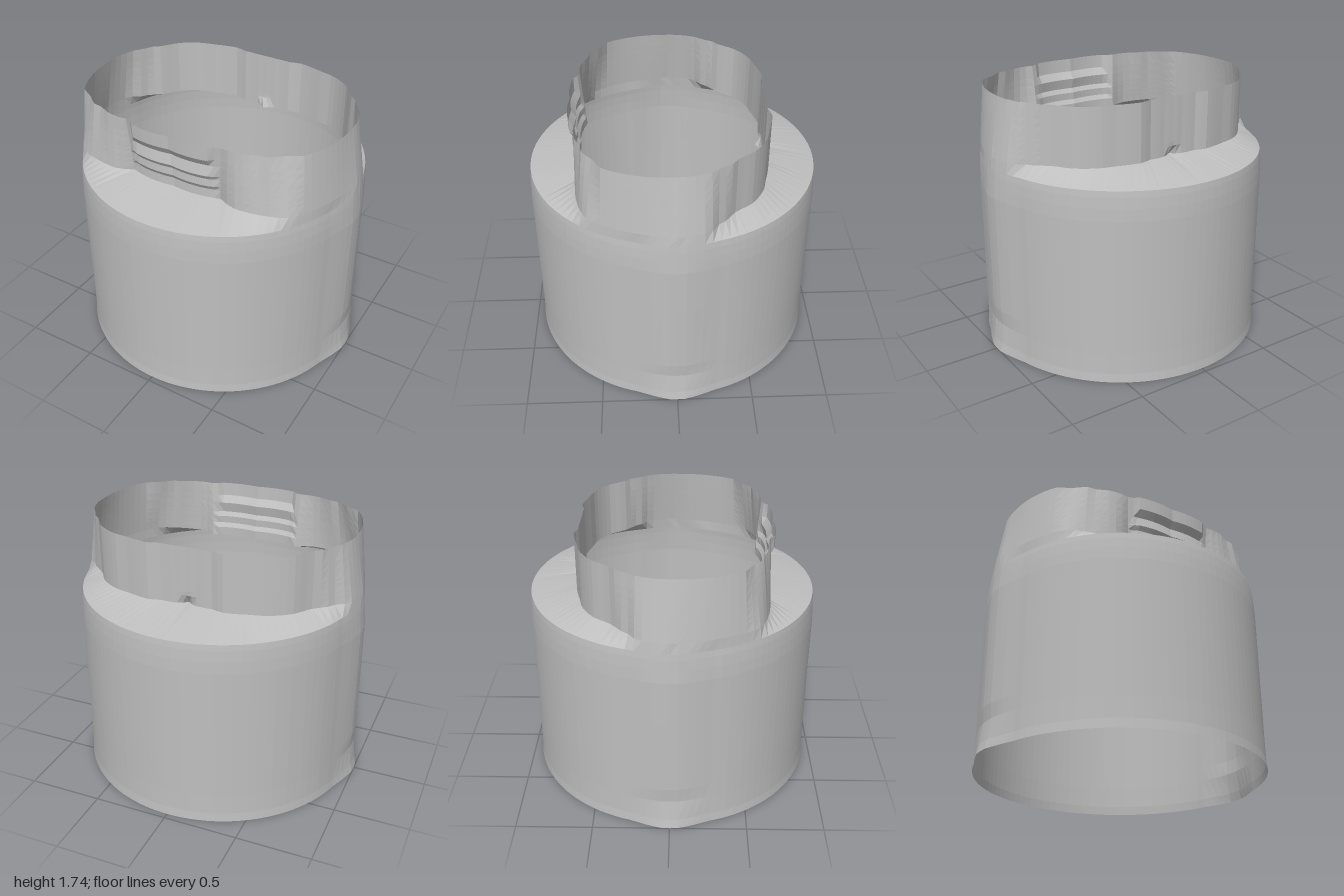
import * as THREE from 'three';

const COLUMNS = 112;

// Half outlines (x, z) of the neck, from the front middle round to the back middle
const neckBack = [[0.77, -0.32], [0.72, -0.36], [0.65, -0.46], [0.6, -0.5], [0.51, -0.55],
  [0.42, -0.57], [0.35, -0.59], [0.25, -0.61], [0.17, -0.59], [0.07, -0.59]];
const neckTop = [[0, 0.65], [0.15, 0.66], [0.28, 0.64], [0.31, 0.6], [0.38, 0.61], [0.47, 0.6],
  [0.55, 0.56], [0.62, 0.55], [0.7, 0.48], [0.79, 0.43], [0.84, 0.33], [0.88, 0.2], [0.895, 0.05],
  [0.89, -0.08], [0.85, -0.2], [0.81, -0.25], ...neckBack, [0, -0.59]];
const neckBase = [[0, 0.6], [0.28, 0.585], [0.31, 0.57], [0.42, 0.62], [0.6, 0.6], [0.7, 0.57],
  [0.77, 0.53], [0.89, 0.3], [0.94, 0.12], [0.96, 0], [0.945, -0.1], [0.92, -0.19], [0.85, -0.235],
  [0.81, -0.29], ...neckBack, [0.04, -0.58], [0, -0.55]];

// Radius of a half outline at an angle measured from the front
function radiusAt(outline, angle) {
  const a = Math.min(angle, 2 * Math.PI - angle);
  for (let i = 1; i < outline.length; i++) {
    const [p, q] = [outline[i - 1], outline[i]];
    const a0 = Math.atan2(p[0], p[1]);
    const a1 = Math.atan2(q[0], q[1]);
    if (a <= a1 + 1e-6) {
      return THREE.MathUtils.lerp(Math.hypot(...p), Math.hypot(...q), (a - a0) / (a1 - a0));
    }
  }
  return Math.hypot(...outline[outline.length - 1]);
}

// Joins a stack of rings, each a function from angle to [x, y, z]
function loft(rings) {
  const positions = [];
  const index = [];
  rings.forEach((ring, r) => {
    for (let c = 0; c < COLUMNS; c++) {
      positions.push(...ring((c / COLUMNS) * Math.PI * 2));
      if (r === 0) continue;
      const n = (c + 1) % COLUMNS;
      const low = (r - 1) * COLUMNS;
      const high = r * COLUMNS;
      index.push(low + c, low + n, high + n, low + c, high + n, high + c);
    }
  });
  const geometry = new THREE.BufferGeometry();
  geometry.setAttribute('position', new THREE.Float32BufferAttribute(positions, 3));
  geometry.setIndex(index);
  const flat = geometry.toNonIndexed();
  flat.computeVertexNormals();
  return flat;
}

// Round body ring with a small swelling on the left and right
const bodyRing = (y, radius, bulge) => (angle) => {
  const x = Math.sin(angle) * radius;
  const z = Math.cos(angle) * radius;
  const swell = bulge * Math.min(1, Math.max(0, 1.25 - Math.abs(z) / 0.2));
  return [x + Math.sign(x) * swell, y, z];
};

// Neck ring blended between base and top, with a stepped front panel
const neckRing = (y, panelShift) => (angle) => {
  const t = (y - 1.36) / 0.38;
  // The small back notch fades out just above the shoulder
  const atBack = Math.abs(angle - Math.PI) < 0.1;
  const blend = atBack ? Math.min(1, t * 6) : t;
  const r = THREE.MathUtils.lerp(radiusAt(neckBase, angle), radiusAt(neckTop, angle), blend);
  const x = Math.sin(angle) * r;
  const z = Math.cos(angle) * r;
  const onPanel = z > 0 && Math.abs(x) < 0.29;
  return [x, y, z + (onPanel ? panelShift : 0)];
};

export function createModel() {
  const group = new THREE.Group();
  const grey = new THREE.MeshStandardMaterial({
    color: 0xbfbfbf, flatShading: true, side: THREE.DoubleSide,
  });
  grey.name = 'plain grey';

  function add(name, rings) {
    const mesh = new THREE.Mesh(loft(rings), grey);
    mesh.name = name;
    group.add(mesh);
  }

  // Open cylindrical body: height, radius, side swelling
  const bodyTop = bodyRing(1.29, 0.94, 0.025);
  add('body', [
    bodyRing(0, 0.96, 0.04),
    bodyRing(0.06, 0.955, 0.033),
    bodyRing(0.2, 0.953, 0.018),
    bodyRing(0.3, 0.953, 0.026),
    bodyRing(0.8, 0.953, 0.028),
    bodyRing(1.1, 0.953, 0.027),
    bodyRing(1.18, 0.95, 0.024),
    bodyRing(1.25, 0.945, 0.024),
    bodyTop,
  ]);

  // Sloping shoulder, running into the neck at the sides
  const neckFoot = neckRing(1.36, 0);
  add('shoulder', [bodyTop, neckFoot]);

  // Fluted open neck; the second number steps the front panel in or out
  add('neck', [
    neckFoot,
    neckRing(1.42, -0.01),
    neckRing(1.45, 0.005),
    neckRing(1.5, -0.005),
    neckRing(1.53, 0.01),
    neckRing(1.6, -0.015),
    neckRing(1.65, 0.01),
    neckRing(1.74, 0),
  ]);

  return group;
}
